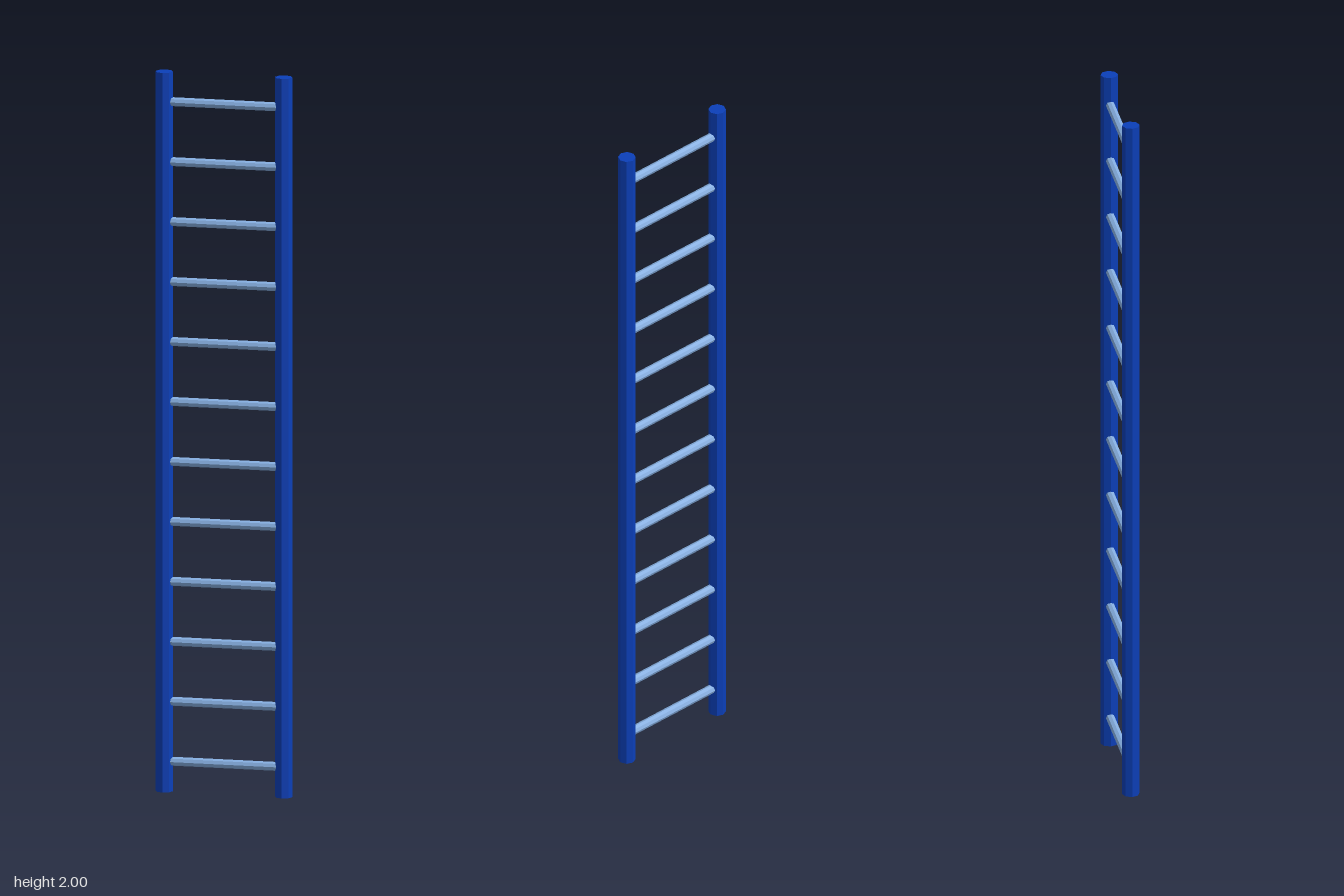
import * as THREE from 'three';

const HEIGHT = 2;
const RAIL_X = 0.1667;
const RAIL_RADIUS = 0.024;
const RUNG_RADIUS = 0.0125;
const RUNG_COUNT = 12;

export function createModel() {
  const ladder = new THREE.Group();
  ladder.name = 'ladder';

  const railMaterial = new THREE.MeshStandardMaterial({ color: 0x0b3fb8, flatShading: true });
  const rungMaterial = new THREE.MeshStandardMaterial({ color: 0x85aee0, flatShading: true });

  // Two octagonal side rails
  const railGeometry = new THREE.CylinderGeometry(RAIL_RADIUS, RAIL_RADIUS, HEIGHT, 8);
  for (const [name, side] of [['leftRail', 1], ['rightRail', -1]]) {
    const rail = new THREE.Mesh(railGeometry, railMaterial);
    rail.name = name;
    rail.position.set(side * RAIL_X, HEIGHT / 2, 0);
    ladder.add(rail);
  }

  // Evenly spaced rungs, ending inside the rails
  const rungGeometry = new THREE.CylinderGeometry(RUNG_RADIUS, RUNG_RADIUS, RAIL_X * 2, 8);
  rungGeometry.rotateZ(Math.PI / 2);
  const spacing = HEIGHT / RUNG_COUNT;
  for (let i = 0; i < RUNG_COUNT; i++) {
    const rung = new THREE.Mesh(rungGeometry, rungMaterial);
    rung.name = `rung${i + 1}`;
    rung.position.y = (i + 0.5) * spacing;
    ladder.add(rung);
  }

  return ladder;
}
